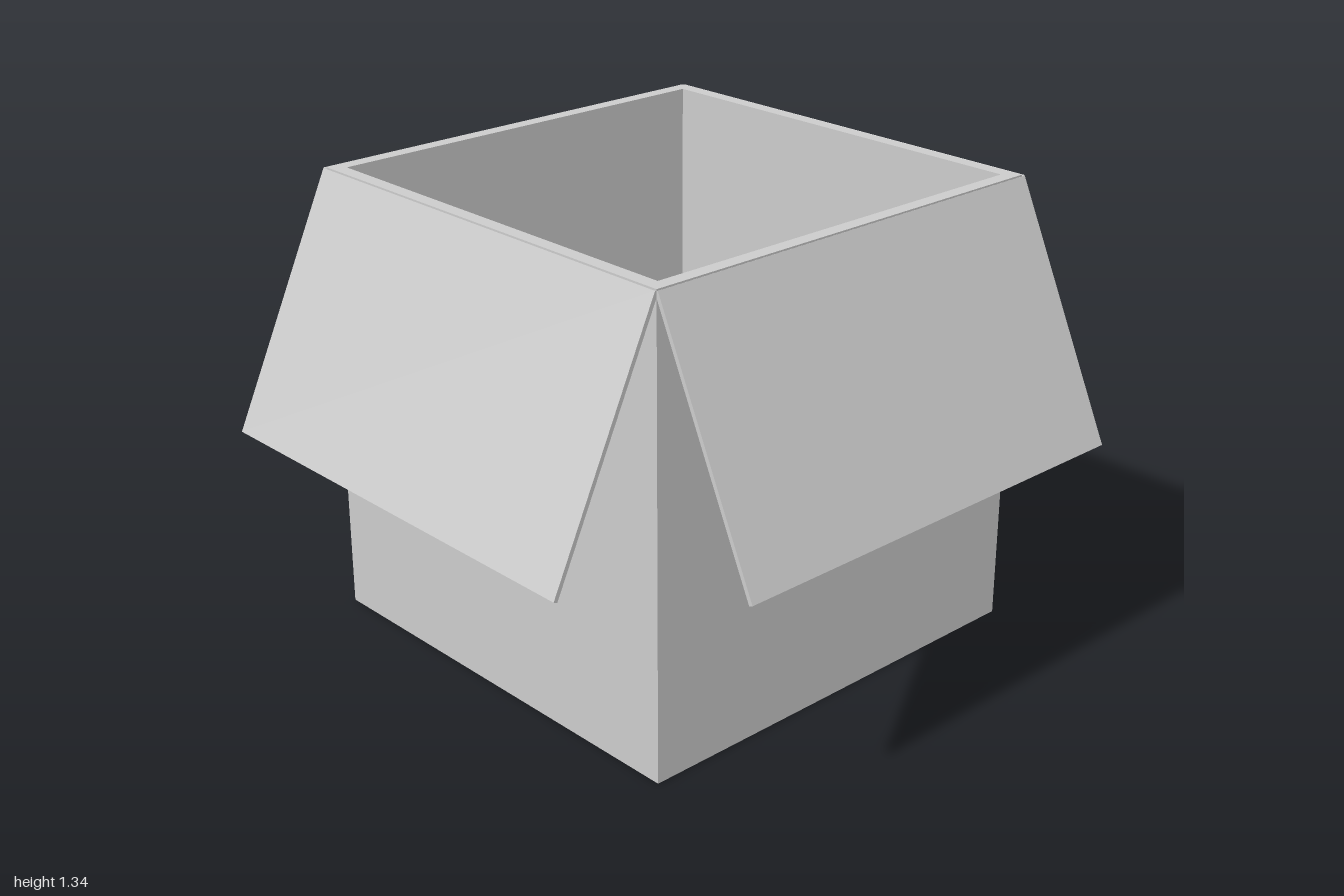
import * as THREE from 'three';

const SIZE = 1.34;      // outer width, depth and height of the box
const WALL = 0.04;      // cardboard wall thickness
const FLAP = 0.012;     // flap thickness
const material = new THREE.MeshStandardMaterial({ color: 0xcccccc, flatShading: true });

function square(Type, half) {
  return new Type([[-half, -half], [half, -half], [half, half], [-half, half]]
    .map(([x, y]) => new THREE.Vector2(x, y)));
}

function add(parent, geometry, name) {
  const mesh = new THREE.Mesh(geometry, material);
  mesh.name = name;
  parent.add(mesh);
  return mesh;
}

export function createModel() {
  const model = new THREE.Group();
  model.name = 'openBox';

  // Four walls as one square tube
  const outline = square(THREE.Shape, SIZE / 2);
  outline.holes.push(square(THREE.Path, SIZE / 2 - WALL));
  const walls = new THREE.ExtrudeGeometry(outline, { depth: SIZE, bevelEnabled: false });
  walls.rotateX(-Math.PI / 2);
  add(model, walls, 'walls');

  // Floor closing the tube
  const inner = SIZE - 2 * WALL;
  add(model, new THREE.BoxGeometry(inner, WALL, inner), 'floor').position.y = WALL / 2;

  // Flaps hang outwards from the top edge of each wall
  const run = 0.323, drop = 0.692;
  const length = Math.hypot(run, drop);
  const flap = new THREE.BoxGeometry(SIZE + 0.006, length, FLAP);
  flap.translate(0, -length / 2, 0);
  flap.rotateX(-Math.atan2(run, drop));
  flap.translate(0, SIZE - 0.004, SIZE / 2 + 0.002);
  ['frontFlap', 'leftFlap', 'backFlap', 'rightFlap'].forEach((name, i) => {
    add(model, flap, name).rotation.y = i * Math.PI / 2;
  });

  return model;
}
